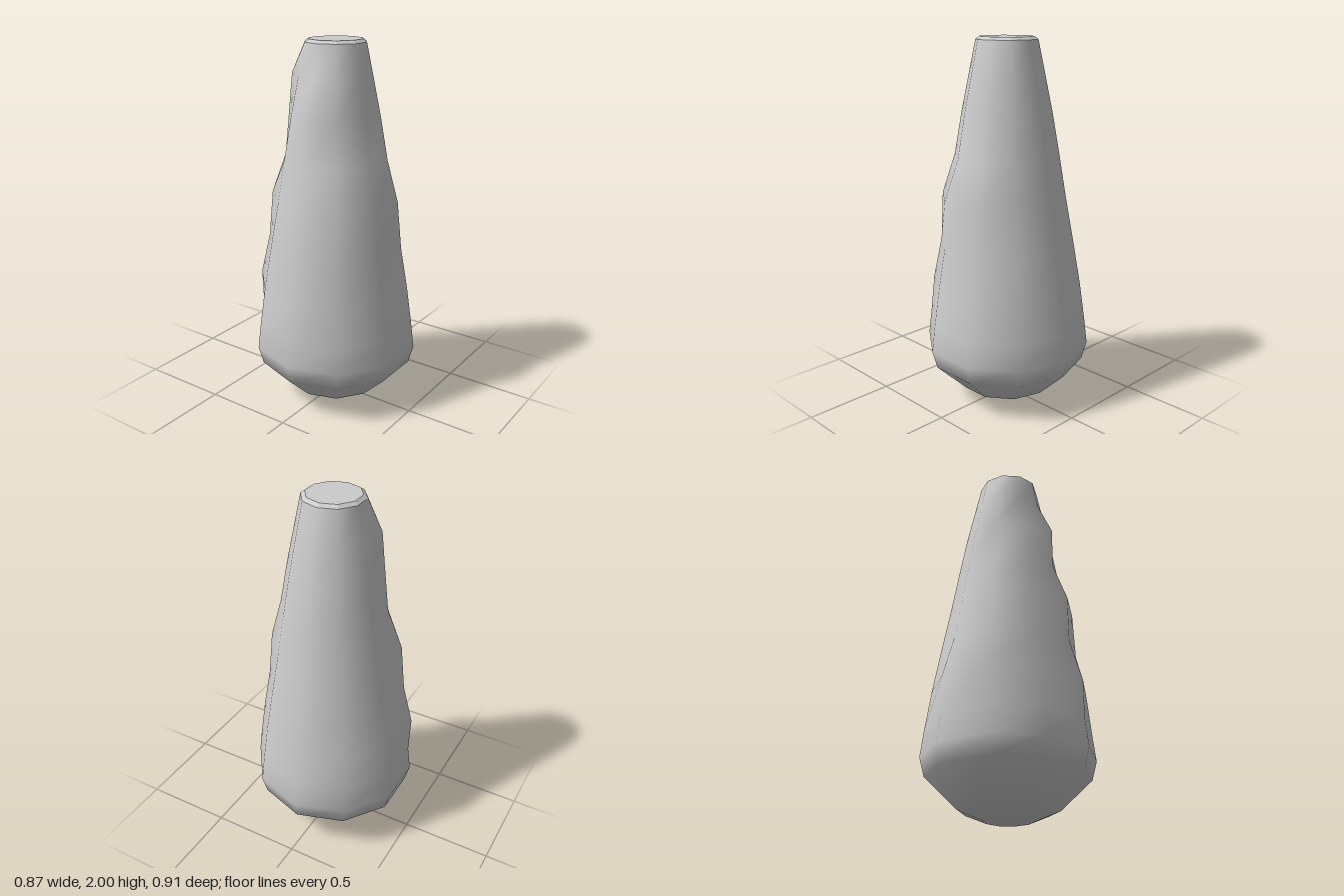
import * as THREE from 'three';

const SIDES = 10;

// Profile rings from the base up: [height, radius]
const RINGS = [
  [0.005, 0.13], [0.06, 0.262], [0.22, 0.43], [0.32, 0.457], [0.46, 0.44], [0.67, 0.41], [0.9, 0.37],
  [1.16, 0.322], [1.38, 0.285], [1.61, 0.244], [1.82, 0.2], [1.985, 0.165],
];

// Lumps: ring index -> { side index (0 = front, counting towards +x): radius factor }
const LUMPS = {
  5: { 0: 1.07, 1: 1.02, 7: 1.07, 8: 1.09 },
  6: { 8: 1.06 },
  7: { 0: 1.14, 1: 1.11, 2: 1.13, 3: 1.07, 8: 1.14 },
  9: { 0: 1.17, 8: 1.07 },
  10: { 0: 0.96, 8: 1.2 },
};

// Skin of stacked rings with shared vertices, so normals are smooth
function ringSkin(rings, lumps, closeBase) {
  const pos = [], index = [];
  rings.forEach(([y, r], i) => {
    for (let k = 0; k < SIDES; k++) {
      const a = (k / SIDES) * Math.PI * 2;
      const rr = r * (lumps[i]?.[k] ?? 1);
      pos.push(Math.sin(a) * rr, y, Math.cos(a) * rr);
    }
  });
  for (let i = 0; i < rings.length - 1; i++) {
    for (let k = 0; k < SIDES; k++) {
      const n = (k + 1) % SIDES;
      const a = i * SIDES + k, b = i * SIDES + n, c = a + SIDES, d = b + SIDES;
      index.push(a, b, d, a, d, c);
    }
  }
  if (closeBase) {
    const centre = pos.length / 3;
    pos.push(0, 0, 0);
    for (let k = 0; k < SIDES; k++) index.push(centre, (k + 1) % SIDES, k);
  }
  const geo = new THREE.BufferGeometry();
  geo.setAttribute('position', new THREE.Float32BufferAttribute(pos, 3));
  geo.setIndex(index);
  geo.computeVertexNormals();
  return geo;
}

export function createModel() {
  const group = new THREE.Group();
  group.name = 'lumpyTaperedBody';
  const smooth = new THREE.MeshStandardMaterial({ color: 0xcccccc });
  const flat = new THREE.MeshStandardMaterial({ color: 0xcccccc, flatShading: true });

  const add = (name, geo, mat) => {
    const mesh = new THREE.Mesh(geo, mat);
    mesh.name = name;
    group.add(mesh);
    return mesh;
  };

  // Tapered body with rounded base and lumps on the front and sides
  add('body', ringSkin(RINGS, LUMPS, true), smooth);

  // Narrow bevel round the top
  add('topBevel', ringSkin([[1.985, 0.165], [2, 0.144]], {}, false), flat);

  // Flat top, one corner pointing forward
  const cap = add('topCap', new THREE.CircleGeometry(0.144, SIDES, Math.PI / 2), flat);
  cap.rotation.x = -Math.PI / 2;
  cap.position.y = 2;

  return group;
}
